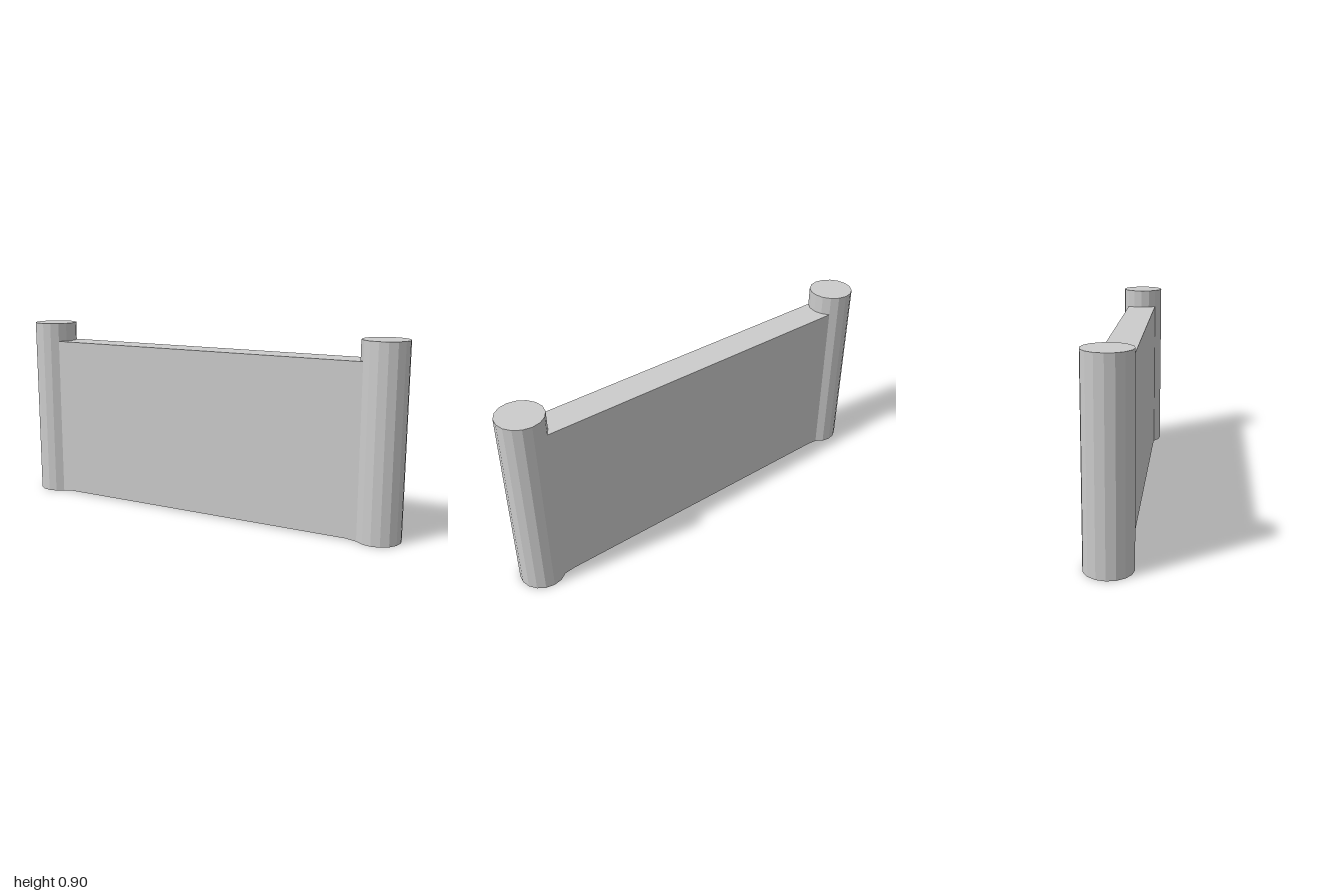
import * as THREE from 'three';

export function createModel() {
  const group = new THREE.Group();
  const material = new THREE.MeshStandardMaterial({ color: 0xcccccc, flatShading: true });
  const radius = 0.106, height = 0.897, postX = 1 - radius;
  const thickness = 2 * radius * Math.SQRT1_2;

  // Sixteen-sided end posts
  for (const side of [-1, 1]) {
    const post = new THREE.Mesh(new THREE.CylinderGeometry(radius, radius, height, 16), material);
    post.name = side > 0 ? 'leftPost' : 'rightPost';
    post.position.set(side * postX, height / 2, 0);
    group.add(post);
  }

  // Wall panel, its underside sloping up slightly just inside the posts
  const end = postX - radius * Math.SQRT1_2, inner = 0.77, lift = 0.006, top = 0.805;
  const outline = new THREE.Shape([
    [-end, 0], [-inner, lift], [inner, lift], [end, 0], [end, top], [-end, top],
  ].map(([x, y]) => new THREE.Vector2(x, y)));
  const geometry = new THREE.ExtrudeGeometry(outline, { depth: thickness, bevelEnabled: false });
  geometry.translate(0, 0, -thickness / 2);
  const wall = new THREE.Mesh(geometry, material);
  wall.name = 'wallPanel';
  group.add(wall);

  return group;
}
